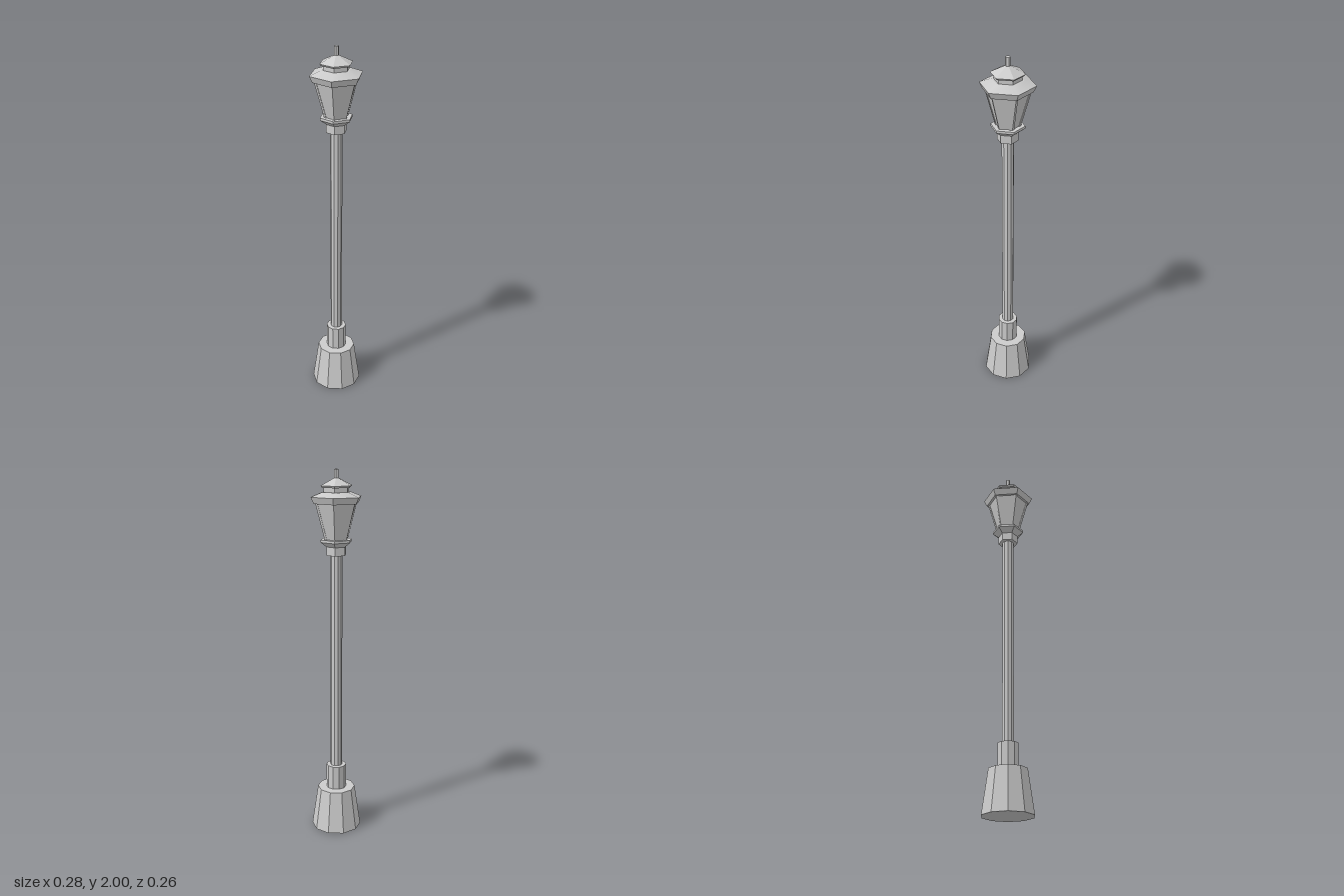
import * as THREE from 'three';

export function createModel() {
  const group = new THREE.Group();
  group.name = 'streetLamp';
  const flat = new THREE.MeshStandardMaterial({ color: 0xcccccc, flatShading: true });
  const smooth = new THREE.MeshStandardMaterial({ color: 0xcccccc });

  // Tapered prism between two heights, with a corner on the x axis
  function prism(name, sides, y0, y1, r0, r1, material = flat) {
    const geometry = new THREE.CylinderGeometry(r1, r0, y1 - y0, sides);
    geometry.rotateY(Math.PI / 2);
    geometry.translate(0, (y0 + y1) / 2, 0);
    const mesh = new THREE.Mesh(geometry, material);
    mesh.name = name;
    group.add(mesh);
  }

  // Ten-sided foot and pole
  prism('base', 10, 0, 0.235, 0.138, 0.104);
  prism('baseCollar', 10, 0.235, 0.37, 0.055, 0.055);
  prism('pole', 10, 0.37, 1.56, 0.032, 0.032);

  // Six-sided lantern
  prism('lanternCollar', 6, 1.56, 1.605, 0.055, 0.055);
  prism('lanternSeat', 6, 1.605, 1.63, 0.055, 0.088);
  prism('lanternSeatRim', 6, 1.63, 1.643, 0.088, 0.088);
  prism('glassPanels', 6, 1.643, 1.83, 0.061, 0.112);
  prism('roofBrim', 6, 1.828, 1.862, 0.126, 0.142);
  prism('roof', 6, 1.862, 1.885, 0.142, 0.08, smooth);
  prism('ventNeck', 6, 1.88, 1.908, 0.07, 0.07);
  prism('capBrim', 6, 1.908, 1.918, 0.08, 0.088);
  prism('cap', 6, 1.918, 1.955, 0.088, 0.013);
  prism('finial', 6, 1.95, 2, 0.013, 0.013);

  // Corner posts: diamond bars leaning outward with the panels
  const y0 = 1.643, y1 = 1.83;
  for (let i = 0; i < 6; i++) {
    const geometry = new THREE.CylinderGeometry(1, 1, y1 - y0, 4);
    geometry.scale(0.007, 1, 0.012);
    geometry.translate(0, (y0 + y1) / 2, 0);
    const p = geometry.attributes.position;
    for (let j = 0; j < p.count; j++) {
      const t = (p.getY(j) - y0) / (y1 - y0);
      p.setX(j, p.getX(j) + 0.059 + 0.051 * t);
    }
    geometry.rotateY(i * Math.PI / 3);
    geometry.computeVertexNormals();
    const post = new THREE.Mesh(geometry, flat);
    post.name = 'cornerPost';
    group.add(post);
  }
  return group;
}
